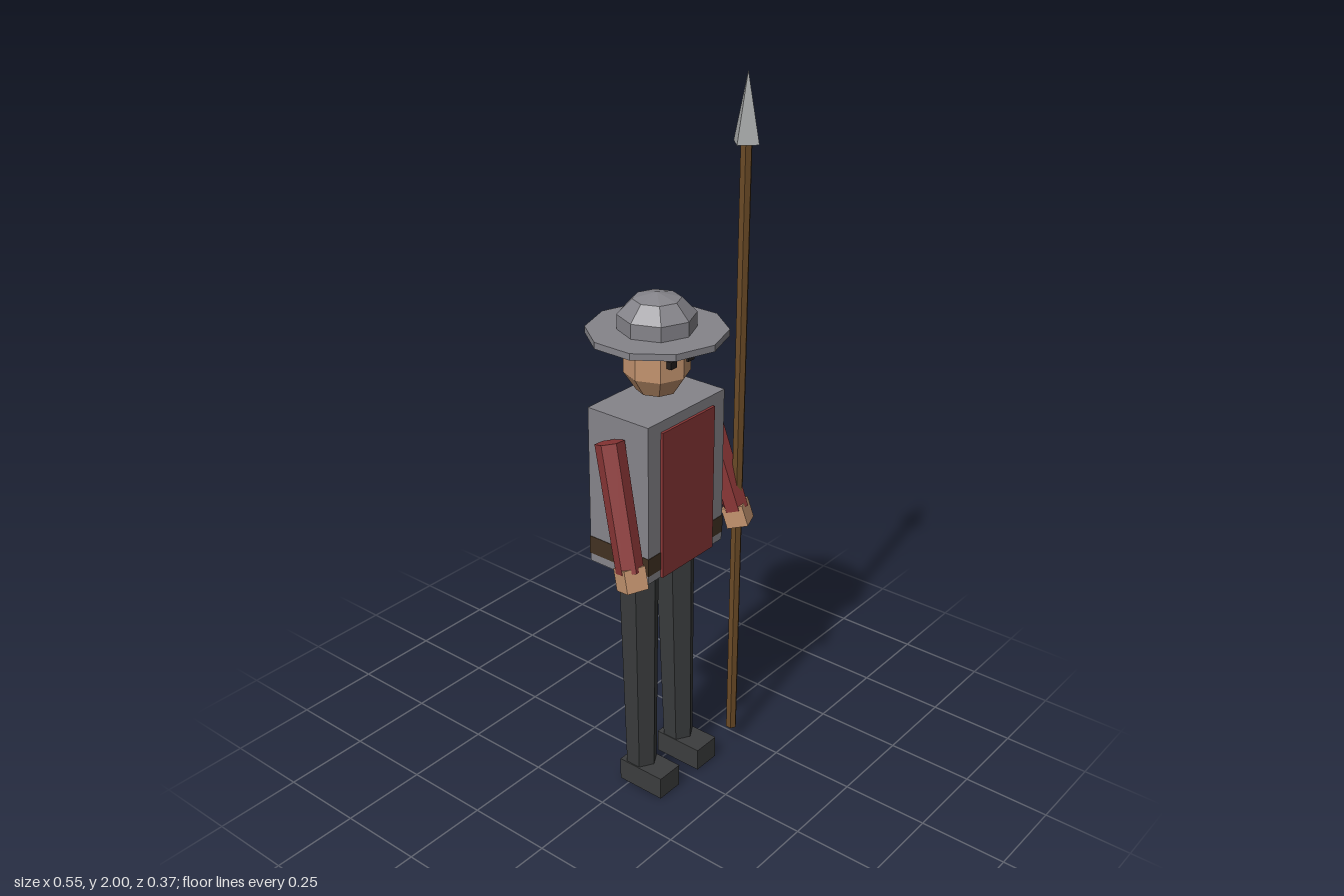
import * as THREE from 'three';

const mat = (name, color) => {
  const m = new THREE.MeshStandardMaterial({ color, flatShading: true });
  m.name = name;
  return m;
};

export function createModel() {
  const steel = mat('steel', 0x85848a);
  const brightSteel = mat('bright steel', 0xa6a8a8);
  const red = mat('red cloth', 0x8a3636);
  const skin = mat('skin', 0xc4946f);
  const wood = mat('wood', 0x6a4a26);
  const leather = mat('belt leather', 0x413122);
  const trousers = mat('dark trousers', 0x393b3c);
  const bootMat = mat('boot leather', 0x3c3d3e);
  const eyeMat = mat('eye black', 0x241f1e);

  const model = new THREE.Group();
  model.name = 'spearman';
  const body = new THREE.Group();
  body.name = 'body';
  body.position.x = -0.005;
  model.add(body);

  const add = (parent, name, geometry, material, x, y, z) => {
    const mesh = new THREE.Mesh(geometry, material);
    mesh.name = name;
    mesh.position.set(x, y, z);
    parent.add(mesh);
    return mesh;
  };
  const box = (name, material, w, h, d, x, y, z) =>
    add(body, name, new THREE.BoxGeometry(w, h, d), material, x, y, z);

  // Torso, belt and front tabard
  box('torso', steel, 0.316, 0.455, 0.202, 0, 0.9475, 0);
  box('belt', leather, 0.319, 0.052, 0.205, 0, 0.77, 0);
  box('tabard', red, 0.216, 0.425, 0.009, 0, 0.9325, 0.104);

  // Head and brimmed helmet
  add(body, 'head', new THREE.SphereGeometry(0.093, 8, 5), skin, 0, 1.285, 0).scale.y = 1.1;
  add(body, 'helmetCrown', new THREE.SphereGeometry(0.109, 8, 5), steel, 0, 1.387, 0).scale.y = 0.75;
  add(body, 'helmetBrim', new THREE.CylinderGeometry(0.186, 0.186, 0.018, 10), steel, 0, 1.363, 0);

  for (const side of [-1, 1]) {
    const label = side < 0 ? 'right' : 'left';
    box(label + 'Eye', eyeMat, 0.024, 0.02, 0.016, side * 0.035, 1.302, 0.077);

    // Arm leaning outward and forward, with the hand on the same axis
    const shoulder = new THREE.Vector3(side * 0.19, 1.118, 0);
    const wrist = new THREE.Vector3(side * 0.228, 0.79, 0.097);
    const arm = new THREE.Group();
    arm.name = label + 'Arm';
    arm.position.copy(shoulder);
    arm.lookAt(wrist);
    const length = shoulder.distanceTo(wrist);
    const sleeve = new THREE.CylinderGeometry(0.039, 0.037, length, 6).rotateX(-Math.PI / 2);
    add(arm, label + 'Sleeve', sleeve, red, 0, 0, length / 2);
    add(arm, label + 'Hand', new THREE.BoxGeometry(0.062, 0.062, 0.062), skin, 0, 0, length + 0.018);
    body.add(arm);

    // Tapered leg and boot
    const hip = new THREE.Vector3(side * 0.078, 0.74, 0);
    const ankle = new THREE.Vector3(side * 0.084, 0.05, 0.013);
    const leg = add(body, label + 'Leg',
      new THREE.CylinderGeometry(0.058, 0.045, hip.distanceTo(ankle), 6), trousers, 0, 0, 0);
    leg.position.copy(hip).lerp(ankle, 0.5);
    leg.quaternion.setFromUnitVectors(new THREE.Vector3(0, 1, 0), hip.clone().sub(ankle).normalize());
    box(label + 'Boot', bootMat, 0.084, 0.068, 0.15, side * 0.085, 0.034, 0.043);
  }

  // Spear held in the left hand
  const spear = new THREE.Group();
  spear.name = 'spear';
  spear.position.set(0.224, 0, 0.1);
  model.add(spear);
  add(spear, 'spearShaft', new THREE.CylinderGeometry(0.016, 0.016, 1.785, 6), wood, 0, 0.9375, 0);
  add(spear, 'spearTip', new THREE.ConeGeometry(0.04, 0.18, 4), brightSteel, 0, 1.91, 0);

  return model;
}
